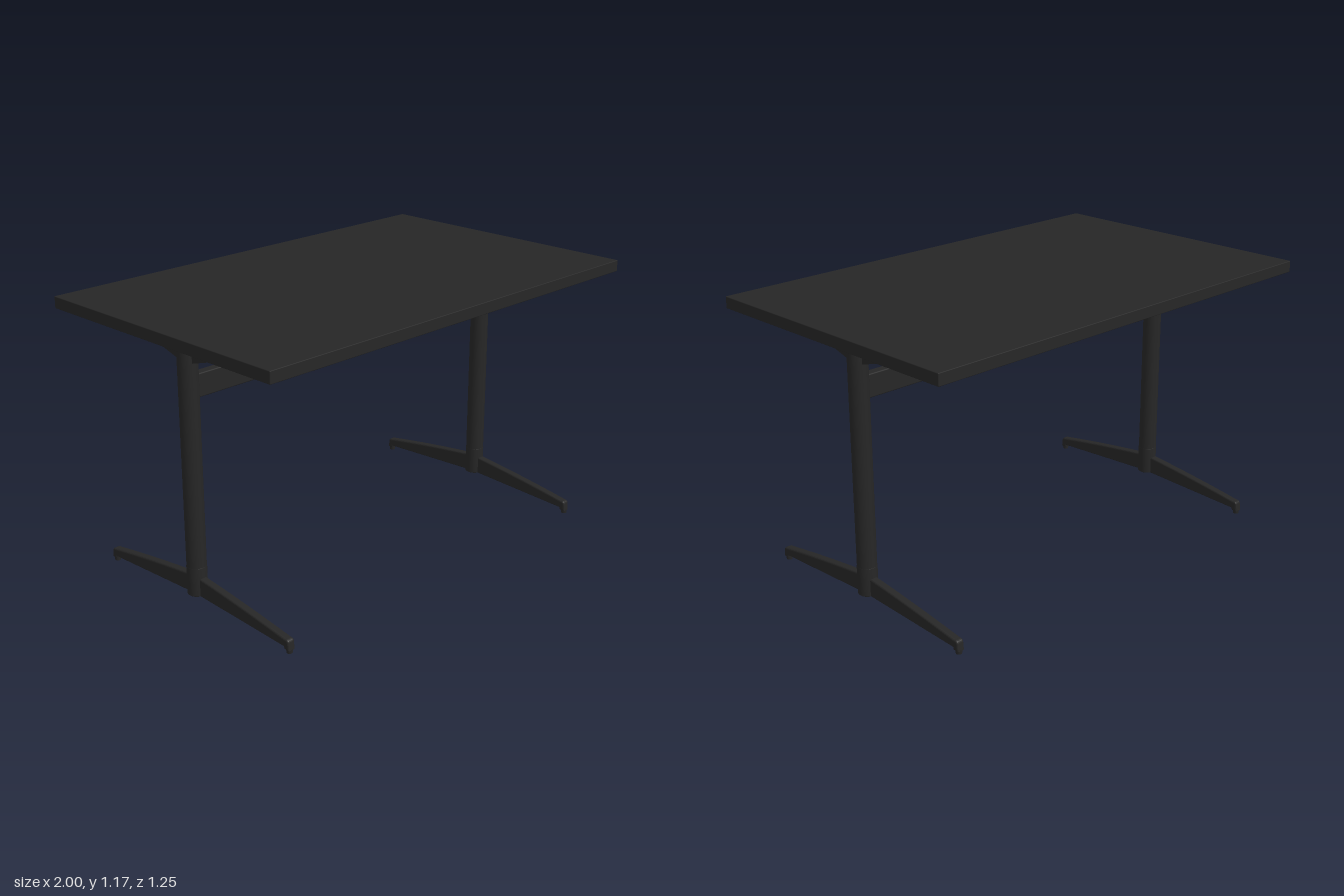
import * as THREE from 'three';
import { RoundedBoxGeometry } from 'three/addons/geometries/RoundedBoxGeometry.js';

const material = new THREE.MeshStandardMaterial({ color: 0x262626 });

function part(name, geometry, x = 0, y = 0, z = 0) {
  const mesh = new THREE.Mesh(geometry, material);
  mesh.name = name;
  mesh.position.set(x, y, z);
  return mesh;
}

// Side profile in (z, y), extruded to a thickness centred on x = 0
function plate(shape, thickness, bevel) {
  const geometry = new THREE.ExtrudeGeometry(shape, {
    depth: thickness - 2 * bevel,
    bevelEnabled: bevel > 0,
    bevelSize: bevel,
    bevelThickness: bevel,
    bevelOffset: -bevel,
    bevelSegments: 3,
    curveSegments: 6,
  });
  geometry.translate(0, 0, -(thickness - 2 * bevel) / 2);
  return geometry.rotateY(-Math.PI / 2);
}

// Tapered foot arm with a rounded, turned-down toe
function footGeometry() {
  const s = new THREE.Shape();
  s.moveTo(0, 0.046);
  s.lineTo(0.04, 0.046);
  s.lineTo(0.515, 0.024);
  s.lineTo(0.517, 0.014);
  s.lineTo(0.544, 0.014);
  s.lineTo(0.541, 0.045);
  s.quadraticCurveTo(0.54, 0.06, 0.522, 0.059);
  s.quadraticCurveTo(0.28, 0.099, 0.04, 0.125);
  s.lineTo(0, 0.125);
  return plate(s, 0.034, 0.007);
}

// Triangular gusset under the top
function bracketGeometry() {
  const s = new THREE.Shape();
  s.moveTo(0, 1.015);
  s.lineTo(0.04, 1.015);
  s.lineTo(0.357, 1.108);
  s.lineTo(0.357, 1.118);
  s.lineTo(0, 1.118);
  return plate(s, 0.02, 0);
}

function createLeg(name) {
  const leg = new THREE.Group();
  leg.name = name;

  // Post and the hub sleeve holding the feet, with a fine seam between them
  leg.add(part('post', new THREE.CylinderGeometry(0.04, 0.04, 0.95, 40), 0, 0.643));
  const hub = [[0, 0.047], [0.038, 0.047], [0.041, 0.05], [0.041, 0.168], [0.039, 0.171]]
    .map(([r, y]) => new THREE.Vector2(r, y));
  leg.add(part('hub', new THREE.LatheGeometry(hub, 40)));

  // Front and back arms
  const foot = footGeometry();
  const bracket = bracketGeometry();
  const glide = new THREE.CylinderGeometry(0.014, 0.012, 0.018, 20);
  for (const [side, angle] of [['front', 0], ['back', Math.PI]]) {
    const arm = new THREE.Group();
    arm.name = side + 'Arm';
    arm.rotation.y = angle;
    arm.add(part('foot', foot), part('topBracket', bracket), part('glide', glide, 0, 0.009, 0.531));
    leg.add(arm);
  }
  return leg;
}

export function createModel() {
  const table = new THREE.Group();
  table.name = 'table';

  table.add(part('tableTop', new RoundedBoxGeometry(2, 0.049, 1.246, 2, 0.003), 0, 1.1415));

  for (const [name, x] of [['leftLeg', 0.85], ['rightLeg', -0.85]]) {
    const leg = createLeg(name);
    leg.position.x = x;
    table.add(leg);
  }

  // Crossbeam between the posts
  table.add(part('crossbeam', new RoundedBoxGeometry(1.64, 0.096, 0.04, 2, 0.005), 0, 0.913));

  // Centre support rod with its flange
  table.add(part('supportRod', new THREE.CylinderGeometry(0.009, 0.009, 0.16, 20), 0, 1.038));
  table.add(part('supportFlange', new THREE.CylinderGeometry(0.021, 0.021, 0.008, 24), 0, 1.114));

  return table;
}
